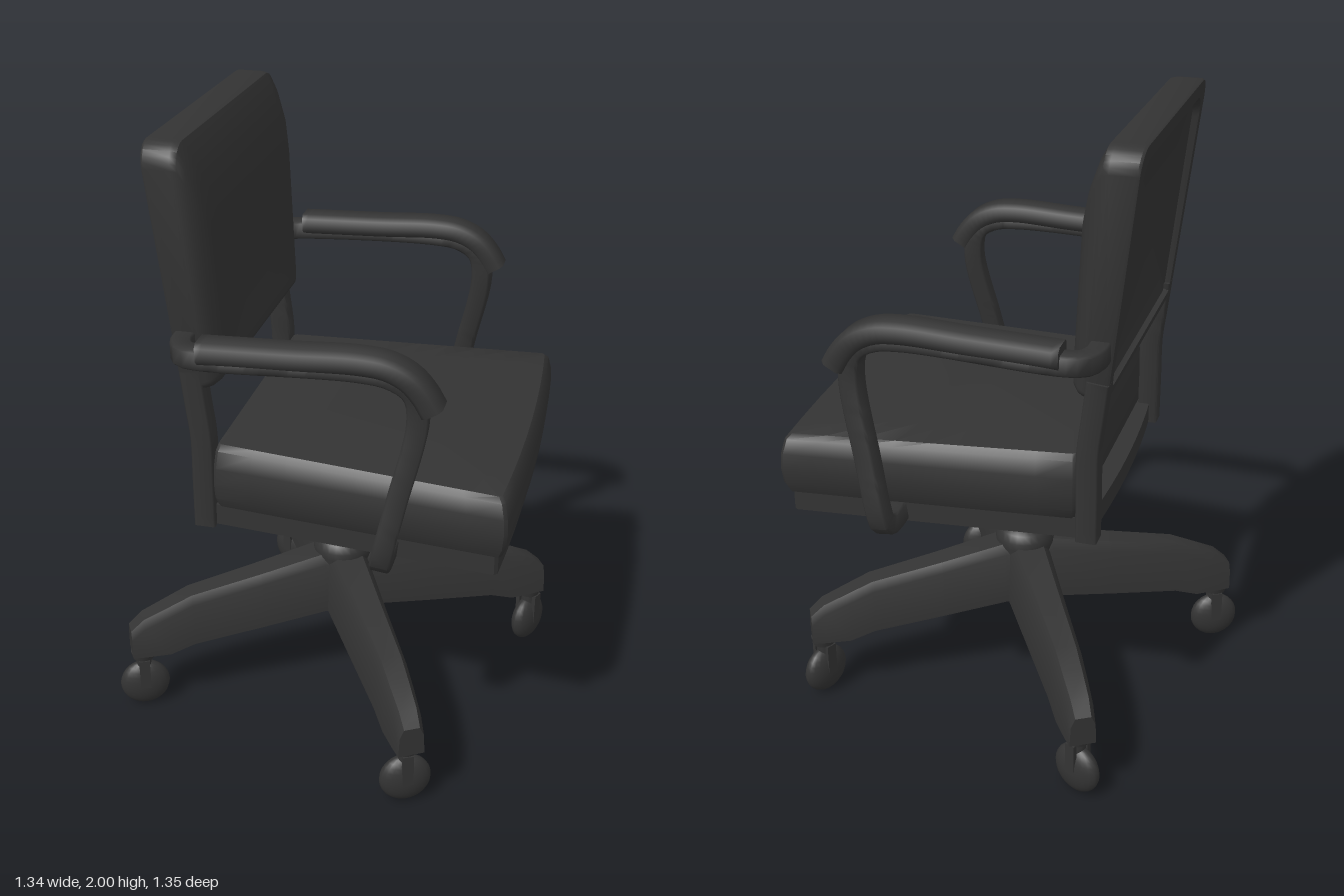
import * as THREE from 'three';
import { toCreasedNormals } from 'three/addons/utils/BufferGeometryUtils.js';

const V = (x, y, z) => new THREE.Vector3(x, y, z);
const material = new THREE.MeshStandardMaterial({ color: 0x333333 });

function part(name, geometry, parent) {
  const mesh = new THREE.Mesh(geometry, material);
  mesh.name = name;
  parent.add(mesh);
  return mesh;
}

// Solid skin over a row of closed rings, with capped ends, turned outward
function loft(rings, crease = 0.6) {
  const n = rings[0].length, points = rings.flat(), faces = [];
  for (let i = 0; i < rings.length - 1; i++) {
    for (let j = 0; j < n; j++) {
      const a = i * n + j, b = i * n + (j + 1) % n;
      faces.push([a, b, a + n], [b, b + n, a + n]);
    }
  }
  [0, rings.length - 1].forEach((r) => {
    const centre = rings[r].reduce((s, p) => s.add(p), V(0, 0, 0)).divideScalar(n);
    const c = points.push(centre) - 1;
    for (let j = 0; j < n; j++) {
      const a = r * n + j, b = r * n + (j + 1) % n;
      faces.push(r === 0 ? [b, a, c] : [a, b, c]);
    }
  });
  let volume = 0;
  faces.forEach(([a, b, c]) => {
    volume += points[a].dot(V(0, 0, 0).crossVectors(points[b], points[c]));
  });
  if (volume < 0) faces.forEach((f) => f.reverse());
  const g = new THREE.BufferGeometry().setFromPoints(points);
  g.setIndex(faces.flat());
  return toCreasedNormals(g, crease);
}

// Chamfered rectangular bar along a smooth path
function bar(path, w, h, chamfer, steps) {
  const curve = new THREE.CatmullRomCurve3(path, false, 'centripetal');
  const { normals, binormals } = curve.computeFrenetFrames(steps, false);
  const a = w / 2, b = h / 2, c = Math.min(a, b) * chamfer;
  const section = [[a, c - b], [a, b - c], [a - c, b], [c - a, b], [-a, b - c], [-a, c - b], [c - a, -b], [a - c, -b]];
  return loft(normals.map((nrm, i) => section.map(([u, v]) =>
    curve.getPointAt(i / steps).addScaledVector(nrm, u).addScaledVector(binormals[i], v))), 0.85);
}

// Seat outline: wider at the front, with bowed front and back edges
function seatRing(y, inset, back, front, bowBack, crown = 0) {
  const zb = 0.46 - inset, zf = 0.542 - inset, n = 8, c = 0.01, ring = [];
  const xb = back + inset * 0.3, xf = front - inset * 0.7;
  for (let i = 0; i <= n; i++) {
    const t = -1 + 2 * i / n;
    ring.push(V(xf + 0.02 * (1 - t * t), y, t * (zf - c)));
  }
  for (let i = 0; i <= n; i++) {
    const t = i / n;
    ring.push(V(xf - c + (xb - xf + 2 * c) * t, y + crown * t, zf + (zb - zf) * t));
  }
  for (let i = 0; i <= n; i++) {
    const t = 1 - 2 * i / n;
    ring.push(V(xb - bowBack * (1 - t * t), y + crown, t * (zb - c)));
  }
  for (let i = 0; i <= n; i++) {
    const t = 1 - i / n;
    ring.push(V(xf - c + (xb - xf + 2 * c) * t, y + crown * t, -zf - (zb - zf) * t));
  }
  return ring;
}

// Rear surface of the reclined back at a given height
const rearX = (y) => -0.347 - 0.115 * Math.max(0, y - 1.1);

// Rounded outline of the backrest, slightly wider at the top
function backRing(depth, inset, topDrop = 0) {
  const y0 = 1.265 + inset * 0.5, y1 = 2 - inset - topDrop, ring = [];
  const corners = [[1, 1, 0.07, 0], [-1, 1, 0.07, 90], [-1, -1, 0.025, 180], [1, -1, 0.025, 270]];
  for (const [sz, sy, r, start] of corners) {
    const half = (sy > 0 ? 0.472 : 0.455) - inset;
    for (let i = 0; i <= 6; i++) {
      const a = THREE.MathUtils.degToRad(start + i * 15);
      const y = (sy > 0 ? y1 - r : y0 + r) + r * Math.sin(a);
      const x = rearX(y) + depth * (0.92 + 0.45 * (y - 1.3));
      ring.push(V(x, y, sz * (half - r) + r * Math.cos(a)));
    }
  }
  return ring;
}

function makeLeg(reach) {
  // fraction of reach, underside, top, half width
  const stations = [[0, 0.3, 0.51, 0.075], [0.11, 0.3, 0.51, 0.073], [0.4, 0.27, 0.465, 0.064], [0.72, 0.24, 0.42, 0.055],
    [0.83, 0.212, 0.385, 0.052], [0.94, 0.212, 0.35, 0.047], [1, 0.212, 0.31, 0.042]];
  return loft(stations.map(([f, b, t, w]) => {
    const r = f * reach;
    return [V(r, b, -w), V(r, b, w), V(r, t - 0.03, w * 0.92),
      V(r, t, w * 0.6), V(r, t, -w * 0.6), V(r, t - 0.03, -w * 0.92)];
  }), 0.8);
}

function makeCaster() {
  const g = new THREE.Group();
  g.name = 'caster';
  part('casterCollar', new THREE.CylinderGeometry(0.042, 0.036, 0.025, 16), g).position.y = 0.2;
  part('casterStem', new THREE.CylinderGeometry(0.025, 0.025, 0.09, 12), g).position.y = 0.165;
  const wheel = part('casterWheel', new THREE.SphereGeometry(0.083, 20, 14), g);
  wheel.scale.z = 0.48;
  wheel.position.y = 0.084;
  for (const s of [-1, 1]) {
    const fork = part('casterFork', new THREE.BoxGeometry(0.035, 0.11, 0.014), g);
    fork.position.set(0, 0.135, s * 0.033);
  }
  return g;
}

export function createModel() {
  const chair = new THREE.Group();
  chair.name = 'officeChair';

  // Four-legged base with casters
  const base = new THREE.Group();
  base.name = 'base';
  base.position.set(0.012, 0, -0.002);
  chair.add(base);
  const swivels = [1.12, -0.45, 0.45, 0.45];
  for (let i = 0; i < 4; i++) {
    const a = Math.PI / 6 + i * Math.PI / 2;
    part('leg', makeLeg(i % 2 ? 0.755 : 0.738), base).rotation.y = a;
    const caster = makeCaster();
    caster.position.set(0.7 * Math.cos(a), 0, -0.7 * Math.sin(a));
    caster.rotation.y = swivels[i];
    base.add(caster);
  }

  // Hub, column and mounting cup turned about the centre
  const column = [[0, 0.29], [0.06, 0.29], [0.098, 0.5], [0.098, 0.525], [0.085, 0.55], [0.058, 0.57], [0.028, 0.572],
    [0.028, 0.77], [0.06, 0.77], [0.09, 0.785], [0.108, 0.81], [0.108, 0.835], [0, 0.835]];
  const columnShape = new THREE.LatheGeometry(column.map(([r, y]) => new THREE.Vector2(r, y)), 24);
  part('column', toCreasedNormals(columnShape, 0.6), base);

  const upper = new THREE.Group();
  upper.name = 'upperChair';
  upper.position.z = -0.009;
  chair.add(upper);

  // Pan with recessed underside, and cushion
  part('seatPan', loft([[0.83, 0.09], [0.802, 0.08], [0.802, 0.025], [0.87, 0.025]].map(([y, inset]) =>
    seatRing(y, inset, -0.325, 0.618, 0.02))), upper);
  part('seatCushion', loft([[0.865, 0.022], [0.9, 0.006], [0.95, 0], [1, 0.004], [1.045, 0.018],
    [1.06, 0.035], [1.068, 0.16]].map(([y, inset]) =>
    seatRing(y, inset, -0.282, 0.626, 0, 0.015 * Math.max(0, (y - 0.97) / 0.09))), 0.7), upper);

  // Backrest shell with rear rim and padded, slightly hollowed front
  const backProfile = [[0.02, 0.065], [0.018, 0.058], [0, 0.05], [0, 0.004], [0.006, 0], [0.07, 0], [0.085, 0.004],
    [0.1, 0.012, 0.03], [0.12, 0.035, 0.08], [0.134, 0.075, 0.11], [0.136, 0.1, 0.12], [0.128, 0.18, 0.12], [0.122, 0.25, 0.12]];
  part('backrest', loft(backProfile.map((r) => backRing(...r)), 0.7), upper).position.z = 0.004;

  for (const s of [-1, 1]) {
    // Uprights
    part('backPost', bar([0.8, 0.95, 1.1, 1.2, 1.32].map((y) =>
      V(rearX(y) + 0.033, y, s * 0.427)), 0.066, 0.066, 0.15, 16), upper);
    // Bent arm bar from upright to underside of the pan
    const path = [[-0.343, 1.42, 0.42], [-0.343, 1.42, 0.5], [-0.32, 1.42, 0.545], [-0.26, 1.422, 0.563],
      [0.2, 1.438, 0.563], [0.29, 1.425, 0.562], [0.348, 1.385, 0.558], [0.363, 1.3, 0.557], [0.313, 1.05, 0.587],
      [0.281, 0.9, 0.605], [0.272, 0.855, 0.6], [0.268, 0.834, 0.565], [0.268, 0.834, 0.46]];
    part('armBar', bar(path.map(([x, y, z]) => V(x, y, s * z)), 0.062, 0.062, 0.2, 60), upper);
    // Arm pad drooping over the front bend
    const pad = [[-0.265, 1.447], [0, 1.457], [0.2, 1.466], [0.28, 1.457], [0.34, 1.428], [0.38, 1.385], [0.408, 1.338]];
    part('armPad', bar(pad.map(([x, y]) => V(x, y, s * 0.564)), 0.088, 0.068, 0.4, 36), upper);
  }
  return chair;
}
